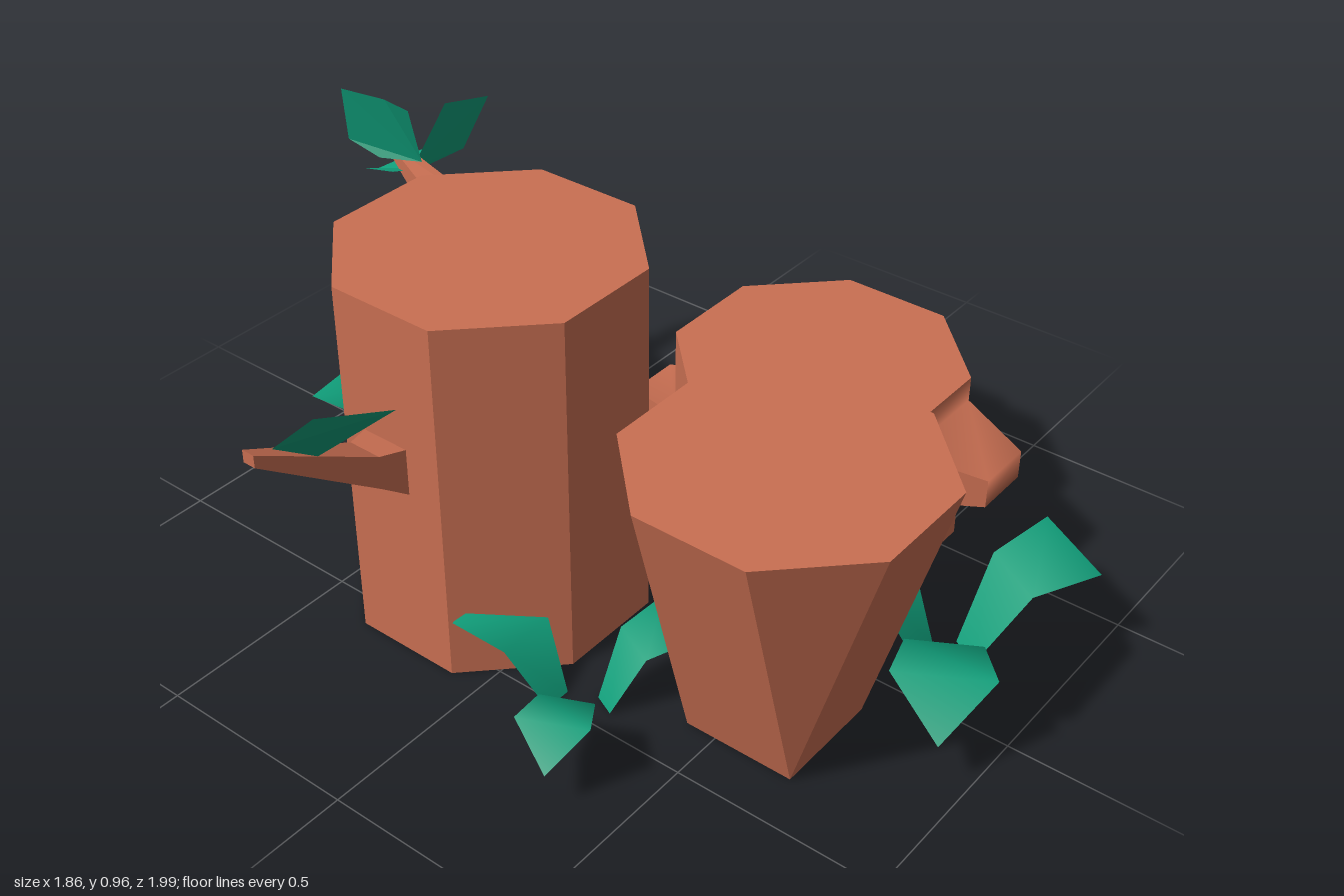
import * as THREE from 'three';
import { ConvexGeometry } from 'three/addons/geometries/ConvexGeometry.js';

const wood = new THREE.MeshStandardMaterial({ color: 0xc96f52 });
const green = new THREE.MeshStandardMaterial({ color: 0x109e7a, side: THREE.DoubleSide });
const A = 0.326;                        // stump apothem
const W = A * Math.tan(Math.PI / 8);    // half of one octagon side

function add(parent, name, geometry, material = wood) {
  const mesh = new THREE.Mesh(geometry, material);
  mesh.name = name;
  parent.add(mesh);
  return mesh;
}

// Smooth strip through rows of two points, listed left to right and top to bottom
function strip(rows) {
  const index = [];
  for (let i = 0; i < 2 * (rows.length - 1); i += 2) index.push(i, i + 2, i + 1, i + 1, i + 2, i + 3);
  const g = new THREE.BufferGeometry();
  g.setAttribute('position', new THREE.Float32BufferAttribute(rows.flat(2), 3));
  g.setIndex(index);
  g.computeVertexNormals();
  return g;
}

const hull = (points) => new ConvexGeometry(points.map((p) => new THREE.Vector3(...p)));

// Short stump side facing +z, drawn out into a tapered peg at height y
function pegSide(group, height, y) {
  const section = (hw, py, z) => [[-hw, py, z], [hw, py, z]];
  const baseHi = section(W, y + 0.067, A), baseLo = section(W, y - 0.067, A);
  const tipHi = section(0.073, y + 0.036, A + 0.178), tipLo = section(0.073, y - 0.036, A + 0.178);
  add(group, 'pegFace', strip([section(W, height, A), baseHi, tipHi, tipLo, baseLo, section(W, 0, A)]));
  add(group, 'pegCheekRight', strip([[tipHi[1], baseHi[1]], [tipLo[1], baseLo[1]]]));
  add(group, 'pegCheekLeft', strip([[baseHi[0], tipHi[0]], [baseLo[0], tipLo[0]]]));
}

function shortStump() {
  const g = new THREE.Group();
  g.name = 'shortStump';
  const h = 0.45, pegHeights = [0.32, 0.22, 0.14, 0.22]; // front, +x, back, -x
  for (let k = 0; k < 8; k++) {
    const side = new THREE.Group();
    side.name = 'stumpSide';
    side.rotation.y = k * Math.PI / 4;
    if (k % 2 === 0) pegSide(side, h, pegHeights[k / 2]);
    else add(side, 'plainFace', strip([[[-W, h, A], [W, h, A]], [[-W, 0, A], [W, 0, A]]]));
    g.add(side);
  }
  for (const up of [1, -1]) {
    const cap = add(g, up > 0 ? 'stumpTop' : 'stumpBottom', new THREE.CircleGeometry(Math.hypot(A, W), 8, Math.PI / 8));
    cap.rotation.x = -up * Math.PI / 2;
    cap.position.y = up > 0 ? h : 0;
  }
  g.position.set(0.428, 0, 0.2);
  return g;
}

// Bent ground leaf: rises steeply from its base, arches over and droops at the tip
function groundLeaf(parent, x, z, dx, dz, size, height) {
  const n = Math.hypot(dx, dz);
  dx /= n; dz /= n;
  const profile = [[0, 0, 0.04], [0.1, 0.83, 0.085], [0.25, 1, 0.112], [0.34, 0.52, 0]];
  const rows = profile.map(([d, y, hw]) => [-1, 1].map((s) => [
    x + size * (dx * d - dz * hw * s), y * height, z + size * (dz * d + dx * hw * s)]));
  add(parent, 'groundLeaf', strip(rows), green);
}

// Thin flat leaf from its outline
function branchLeaf(parent, points) {
  const g = new THREE.BufferGeometry();
  const fan = [];
  for (let i = 1; i < points.length - 1; i++) fan.push(points[0], points[i], points[i + 1]);
  g.setAttribute('position', new THREE.Float32BufferAttribute(fan.flat(), 3));
  g.computeVertexNormals();
  add(parent, 'branchLeaf', g, green);
}

export function createModel() {
  const model = new THREE.Group();
  model.name = 'stumps';

  // Tall straight stump
  const tall = add(model, 'tallStump', new THREE.CylinderGeometry(A / Math.cos(Math.PI / 8), A / Math.cos(Math.PI / 8), 0.9, 8).rotateY(Math.PI / 8).toNonIndexed());
  tall.geometry.computeVertexNormals();
  tall.position.set(-0.245, 0.45, -0.215);

  // Stump tapering from an octagon to a square foot
  const points = [];
  for (const sx of [-1, 1]) for (const sz of [-1, 1])
    points.push([sx * W, 0.68, sz * A], [sx * A, 0.68, sz * W], [sx * W, 0, sz * W]);
  add(model, 'taperedStump', hull(points)).position.set(-0.235, 0, 0.56);

  model.add(shortStump());

  // Hollow ring stump, each wall a different height; starts at the front and turns toward +x
  const ring = new THREE.Group();
  ring.name = 'hollowStump';
  [0.1, 0.32, 0.09, 0.19, 0.1, 0.41, 0.13, 0.2].forEach((h, k) => {
    const corners = [];
    for (const a of [0.163, 0.115]) for (const s of [-1, 1]) for (const y of [0, h])
      corners.push([s * a * Math.tan(Math.PI / 8), y, a]);
    add(ring, 'ringWall', hull(corners)).rotation.y = k * Math.PI / 4;
  });
  ring.position.set(0.235, 0, -0.5);
  model.add(ring);

  // Single branch on the -x side
  const sectionX = (x, lo, hi, hw) => [[x, lo, -0.23 - hw], [x, lo, -0.23 + hw], [x, hi, -0.23 - hw], [x, hi, -0.23 + hw]];
  const knee = sectionX(-0.63, 0.495, 0.578, 0.042);
  add(model, 'branchBase', hull([...sectionX(-0.565, 0.45, 0.57, 0.062), ...knee]));
  add(model, 'branch', hull([...knee, ...sectionX(-0.93, 0.71, 0.74, 0.016)]));

  // Forked branch on the back corner
  const crotch = [[0.06, 0.66, -0.46], [0.06, 0.74, -0.46]];
  const rootBack = [[-0.045, 0.6, -0.48], [-0.045, 0.73, -0.48]];
  const rootFront = [[0.077, 0.6, -0.365], [0.077, 0.73, -0.365]];
  const mid = [[0.016, 0.6, -0.42], [0.016, 0.73, -0.42]];
  add(model, 'forkBack', hull([...rootBack, ...mid, ...crotch,
    [0.105, 0.755, -0.855], [0.105, 0.785, -0.855], [0.135, 0.755, -0.85], [0.135, 0.785, -0.85]]));
  add(model, 'forkSide', hull([...rootFront, ...mid, ...crotch,
    [0.28, 0.705, -0.497], [0.28, 0.735, -0.497], [0.285, 0.705, -0.465], [0.285, 0.735, -0.465]]));

  // Leaves at the branch tips
  branchLeaf(model, [[-0.765, 0.86, 0.02], [-0.7, 0.74, -0.12], [-0.79, 0.67, -0.19], [-0.91, 0.76, -0.18], [-0.885, 0.86, -0.08]]);
  branchLeaf(model, [[0.11, 0.75, -0.79], [0.19, 0.9, -0.75], [0.33, 0.87, -0.74], [0.27, 0.74, -0.775], [0.15, 0.735, -0.79]]);
  branchLeaf(model, [[0.1, 0.78, -0.75], [0.09, 0.91, -0.775], [0.05, 0.945, -0.81], [0, 0.965, -0.9], [0.01, 0.83, -0.9], [0.04, 0.79, -0.83]]);
  branchLeaf(model, [[0.125, 0.75, -0.76], [0.22, 0.73, -0.865], [0.165, 0.665, -0.97], [0.07, 0.72, -0.92], [0.06, 0.75, -0.81]]);

  // Ground leaves: x, z, direction x, direction z, size, height
  for (const leaf of [
    [0.145, 0.7, -0.04, -1, 1, 0.235], [0.085, 0.775, -0.87, 0.5, 1, 0.235], [0.2, 0.775, 0.87, 0.5, 1, 0.235],
    [-0.49, 0.16, 0, -1, 0.85, 0.17], [-0.53, 0.25, -0.87, 0.4, 0.72, 0.18], [-0.44, 0.25, 0.87, 0.4, 0.72, 0.18],
    [-0.05, -0.66, -0.15, -1, 1, 0.2], [0.27, 0.06, -0.15, -1, 0.95, 0.2],
  ]) groundLeaf(model, ...leaf);

  return model;
}
